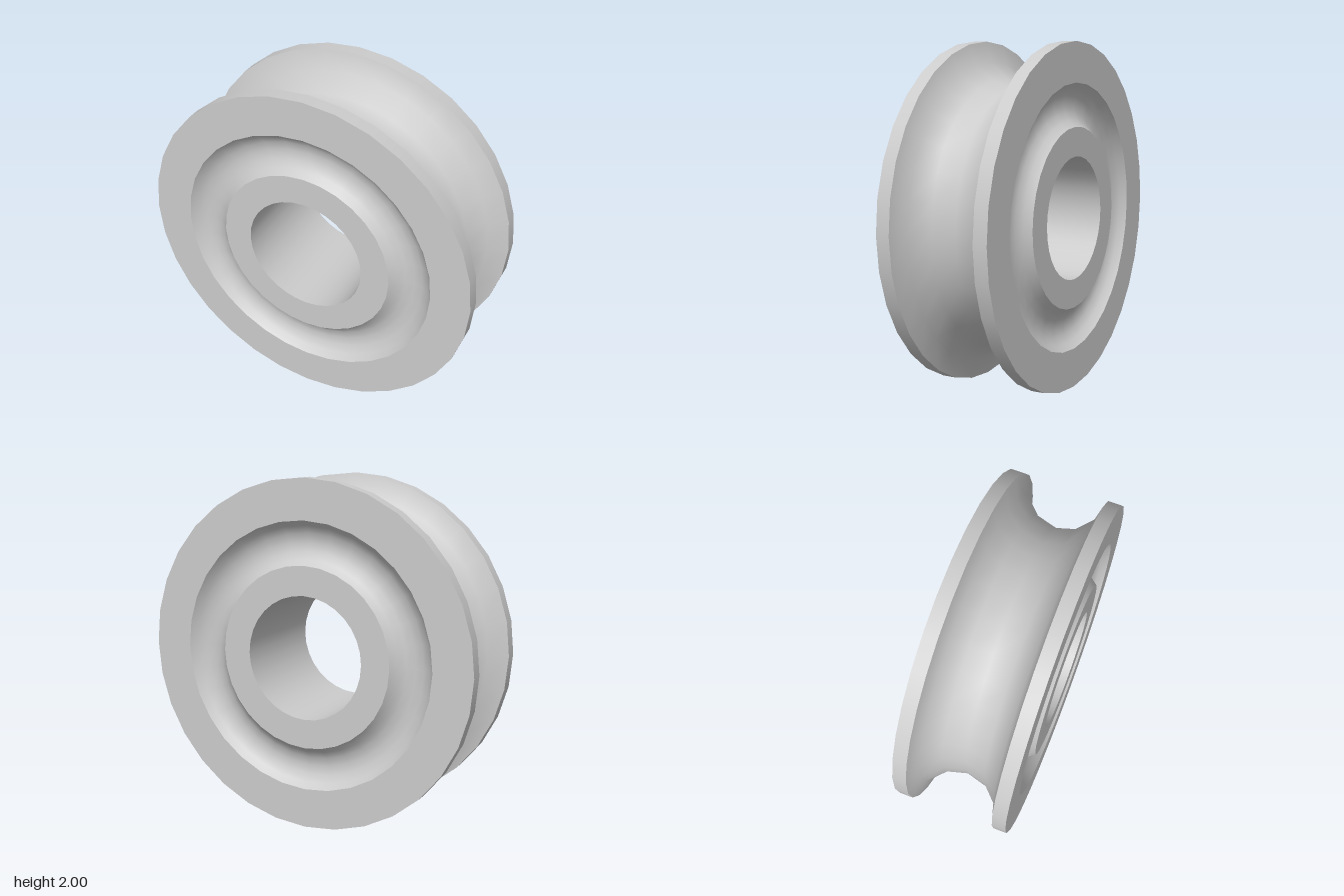
import * as THREE from 'three';

const SIDES = 32;
const HALF = 0.33; // half thickness of the wheel
const RIM = 1, DISH_OUT = 0.77, DISH_IN = 0.523, BORE = 0.355;
const DISH_DEPTH = 0.075;
const GROOVE_RADIUS = 0.25, GROOVE_CENTRE = 1.01;

const material = new THREE.MeshStandardMaterial({ color: 0xcccccc });

// Revolves one smooth run of the section, given as [radius, z] pairs, about the axle.
function revolve(name, points) {
  const geometry = new THREE.LatheGeometry(points.map(([r, z]) => new THREE.Vector2(r, z)), SIDES);
  geometry.rotateX(Math.PI / 2);
  const mesh = new THREE.Mesh(geometry, material);
  mesh.name = name;
  return mesh;
}

// Six-segment arc, from angle -reach to +reach.
function arc(reach, pointAt) {
  return Array.from({ length: 7 }, (_, i) => pointAt((i / 3 - 1) * reach));
}

// Shallow circular hollow between the rim ring and the hub ring.
function dishProfile() {
  const middle = (DISH_OUT + DISH_IN) / 2;
  const halfWidth = (DISH_OUT - DISH_IN) / 2;
  const reach = 2 * Math.atan(DISH_DEPTH / halfWidth);
  const radius = halfWidth / Math.sin(reach);
  return arc(reach, (t) => [
    middle - radius * Math.sin(t),
    HALF - radius * (Math.cos(t) - Math.cos(reach))
  ]);
}

// One side face: flat rim ring, hollow dish and flat hub ring.
function sideFace(name) {
  const face = new THREE.Group();
  face.name = name;
  face.add(
    revolve('flangeEdge', [[RIM, GROOVE_RADIUS], [RIM, HALF]]),
    revolve('rimRing', [[RIM, HALF], [DISH_OUT, HALF]]),
    revolve('dish', dishProfile()),
    revolve('hubRing', [[DISH_IN, HALF], [BORE, HALF]])
  );
  return face;
}

export function createModel() {
  const wheel = new THREE.Group();
  wheel.name = 'grooveWheel';

  // Round groove around the outside, trimmed at the rim
  wheel.add(revolve('groove', arc(Math.PI / 2, (t) => [
    Math.min(RIM, GROOVE_CENTRE - GROOVE_RADIUS * Math.cos(t)), GROOVE_RADIUS * Math.sin(t)
  ])));

  // Axle hole
  wheel.add(revolve('bore', [[BORE, HALF], [BORE, -HALF]]));

  // Identical front and back faces
  const back = sideFace('backFace');
  back.rotation.y = Math.PI;
  wheel.add(sideFace('frontFace'), back);

  wheel.position.y = RIM;
  const model = new THREE.Group();
  model.name = 'pulleyWheel';
  model.add(wheel);
  return model;
}
